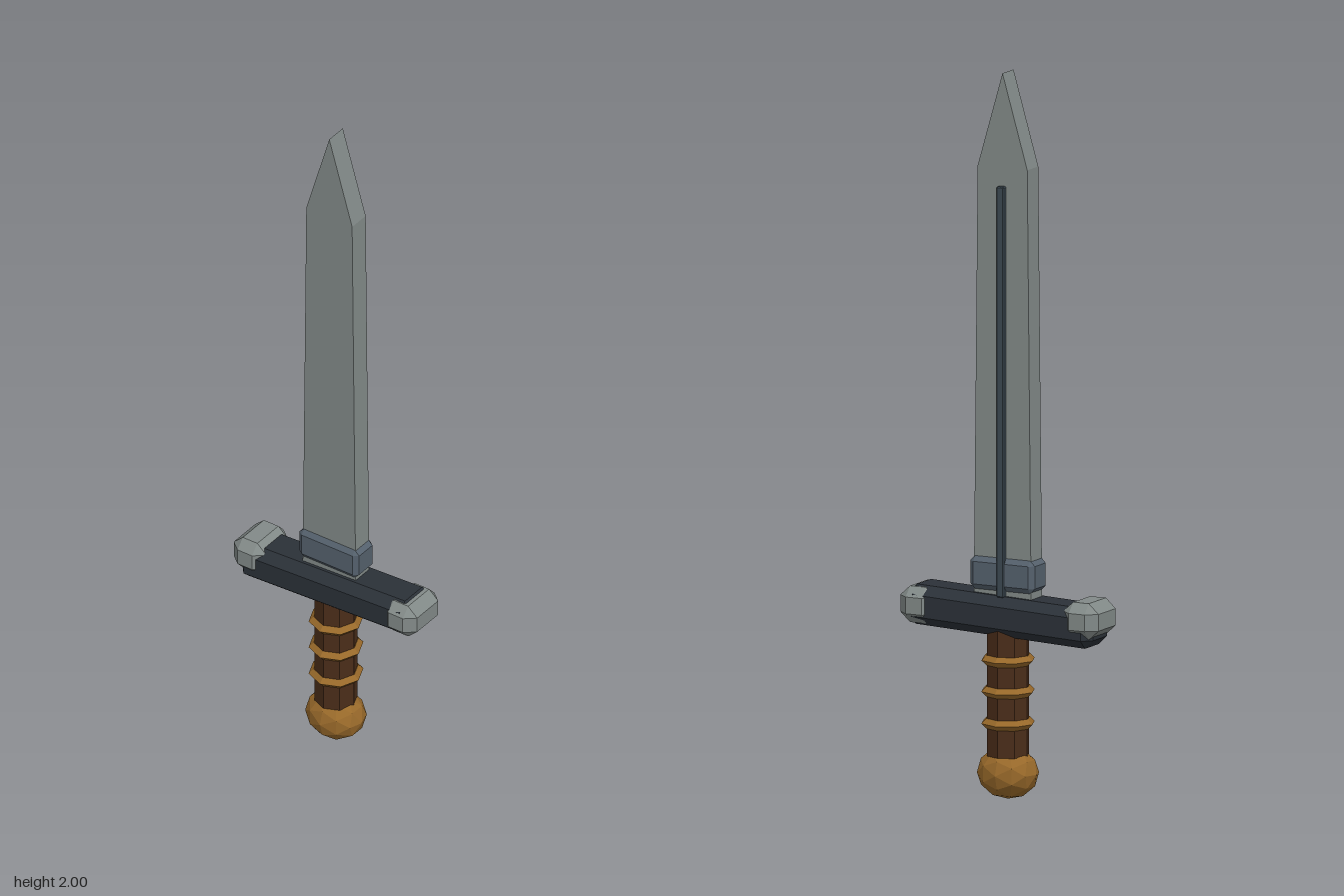
import * as THREE from 'three';
import { ConvexGeometry } from 'three/addons/geometries/ConvexGeometry.js';

const mat = (color) => new THREE.MeshStandardMaterial({ color, flatShading: true });

// Box with half sizes h and every edge cut back by c = [x, y, z]
function chamferBox([hx, hy, hz], [cx, cy, cz]) {
  const pts = [];
  for (const x of [-1, 1]) for (const y of [-1, 1]) for (const z of [-1, 1]) {
    pts.push(
      new THREE.Vector3(x * hx, y * (hy - cy), z * (hz - cz)),
      new THREE.Vector3(x * (hx - cx), y * hy, z * (hz - cz)),
      new THREE.Vector3(x * (hx - cx), y * (hy - cy), z * hz));
  }
  return new ConvexGeometry(pts);
}

export function createModel() {
  const group = new THREE.Group();
  const steel = mat(0x828a88), iron = mat(0x2b3138), blue = mat(0x55616d);
  const groove = mat(0x3c4952), leather = mat(0x4a2d19), brass = mat(0x98692a);

  const add = (name, geometry, material, x, y, z) => {
    const mesh = new THREE.Mesh(geometry, material);
    mesh.name = name;
    mesh.position.set(x, y, z);
    group.add(mesh);
    return mesh;
  };

  // Flat blade, slightly tapered, with a wedge tip
  const outline = new THREE.Shape([
    [-0.088, 0.55], [0.088, 0.55], [0.076, 1.74], [0, 2], [-0.076, 1.74],
  ].map(([x, y]) => new THREE.Vector2(x, y)));
  add('blade', new THREE.ExtrudeGeometry(outline, { depth: 0.063, bevelEnabled: false }),
    steel, 0, 0, -0.0315);

  // Thin strip down the back of the blade
  add('fuller', chamferBox([0.011, 0.565, 0.009], [0.003, 0.003, 0.003]), groove, 0, 1.125, -0.038);

  // Collar at the root of the blade
  add('collar', chamferBox([0.099, 0.046, 0.042], [0.015, 0.015, 0.011]), blue, 0, 0.621, 0);

  // Crossguard, slightly tilted, with a level cap at each end
  const guard = add('guard', chamferBox([0.283, 0.055, 0.068], [0.023, 0.025, 0.028]),
    iron, 0, 0.508, 0);
  guard.rotation.z = 0.043;
  for (const side of [-1, 1]) {
    add(side > 0 ? 'leftGuardCap' : 'rightGuardCap',
      chamferBox([0.054, 0.05, 0.074], [0.03, 0.027, 0.025]), steel, side * 0.25, 0.519, 0);
  }

  // Grip with three binding rings
  add('grip', new THREE.CylinderGeometry(0.059, 0.059, 0.36, 8), leather, 0, 0.3, 0);
  for (const y of [0.21, 0.298, 0.384]) {
    const ring = add('gripRing', new THREE.TorusGeometry(0.061, 0.014, 4, 8), brass, 0, y, 0);
    ring.rotation.x = Math.PI / 2;
  }

  // Faceted pommel
  const pommel = add('pommel', new THREE.IcosahedronGeometry(1, 1), brass, 0, 0.073, 0);
  pommel.scale.set(0.087, 0.073, 0.075);

  return group;
}
